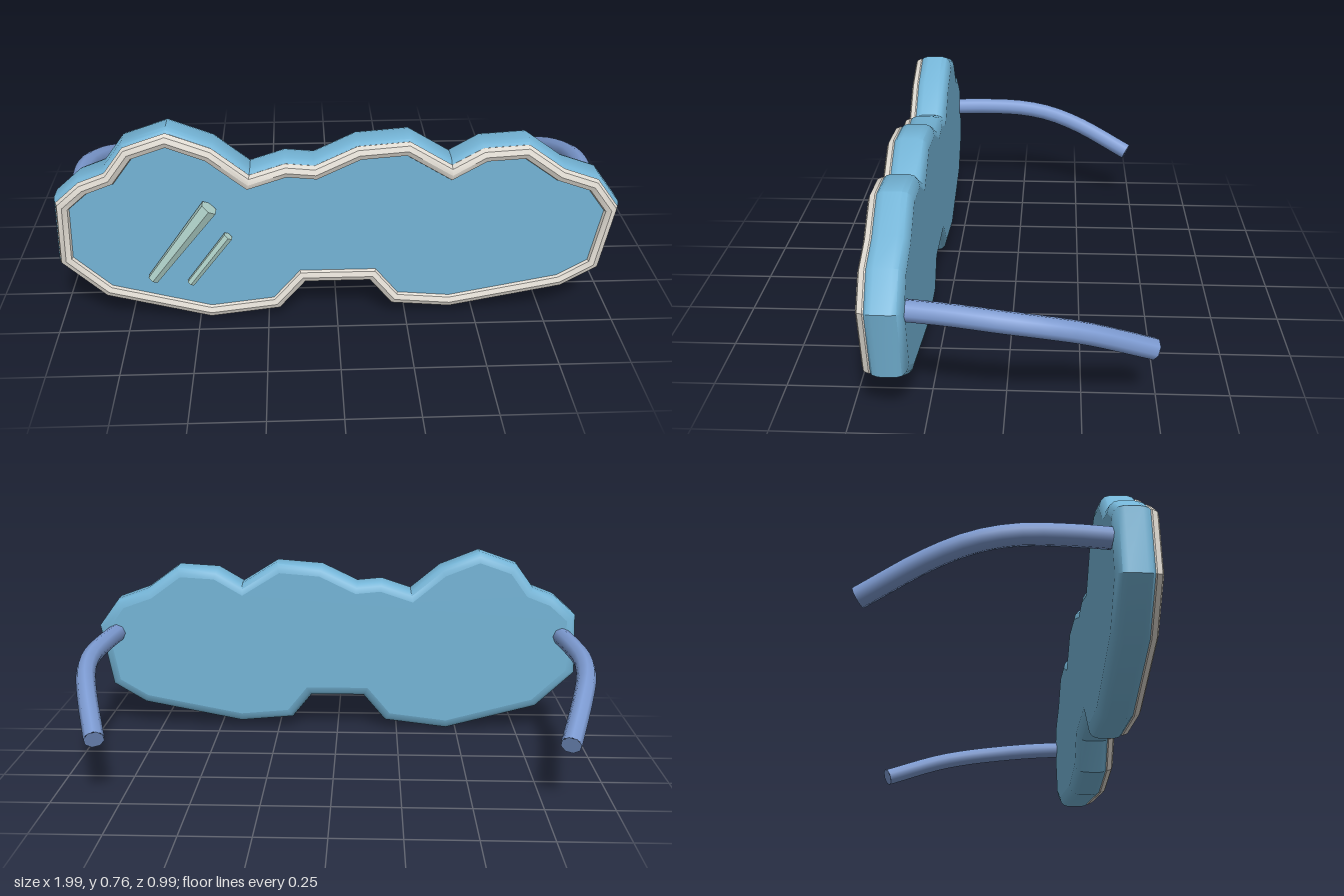
import * as THREE from 'three';
import { mergeGeometries, toCreasedNormals } from 'three/addons/utils/BufferGeometryUtils.js';

// Mask outline, clockwise from the upper left as seen from the front
const OUTLINE = [
  [-0.98, 0.5], [-0.89, 0.58], [-0.8, 0.615], [-0.73, 0.71], [-0.577, 0.763], [-0.42, 0.7],
  [-0.3, 0.6], [-0.18, 0.64], [-0.08, 0.63], [0.065, 0.7], [0.25, 0.715], [0.395, 0.625],
  [0.497, 0.685], [0.66, 0.695], [0.79, 0.6], [0.915, 0.555], [1, 0.44], [0.955, 0.187],
  [0.82, 0.105], [0.41, 0.025], [0.19, 0.045], [0.11, 0.145], [-0.107, 0.145], [-0.2, 0.035],
  [-0.46, 0.003], [-0.835, 0.105], [-0.99, 0.255],
].map(([x, y]) => new THREE.Vector2(x, y));

// Outline moved inwards by d, with mitred corners
function inset(d) {
  const n = OUTLINE.length;
  return OUTLINE.map((p, i) => {
    const a = p.clone().sub(OUTLINE[(i + n - 1) % n]).normalize();
    const b = OUTLINE[(i + 1) % n].clone().sub(p).normalize();
    const na = new THREE.Vector2(a.y, -a.x);
    const nb = new THREE.Vector2(b.y, -b.x);
    const m = na.clone().add(nb);
    return p.clone().addScaledVector(m, d / (1 + na.dot(nb)));
  });
}

// Sweeps a profile of [inset, z] pairs around the outline
function sweep(profile) {
  const rings = profile.map(([d, z]) => inset(d).map((p) => [p.x, p.y, z]));
  const pos = [];
  const n = OUTLINE.length;
  for (let j = 0; j < rings.length - 1; j++) {
    for (let i = 0; i < n; i++) {
      const k = (i + 1) % n;
      const a = rings[j][i], b = rings[j + 1][i], c = rings[j + 1][k], d = rings[j][k];
      pos.push(...a, ...b, ...c, ...a, ...c, ...d);
    }
  }
  const g = new THREE.BufferGeometry();
  g.setAttribute('position', new THREE.Float32BufferAttribute(pos, 3));
  g.computeVertexNormals();
  return toCreasedNormals(g, 0.7);
}

// Flat cap closing the sweep, facing front or back
function cap(d, z, back) {
  const pts = inset(d).map((p) => new THREE.Vector2(back ? -p.x : p.x, p.y));
  const g = new THREE.ShapeGeometry(new THREE.Shape(pts)).toNonIndexed();
  g.deleteAttribute('uv');
  if (back) g.rotateY(Math.PI);
  return g.translate(0, 0, z);
}

export function createModel() {
  const group = new THREE.Group();
  const mat = (name, color) => {
    const m = new THREE.MeshStandardMaterial({ color });
    m.name = name;
    return m;
  };
  const blue = mat('skyBlue', 0x74b4d6);
  const white = mat('warmWhite', 0xe0dbd2);
  const periwinkle = mat('periwinkle', 0x7d9bd2);
  const mint = mat('paleMint', 0xb0d2ca);
  const add = (name, geometry, material) => {
    const mesh = new THREE.Mesh(geometry, material);
    mesh.name = name;
    group.add(mesh);
    return mesh;
  };

  // Rounded lens body
  add('lensBody', mergeGeometries([
    sweep([[0.04, 0.3], [0.018, 0.306], [0.005, 0.319], [0, 0.337],
      [0, 0.395], [0.005, 0.413], [0.018, 0.427], [0.04, 0.432]]),
    cap(0.04, 0.432, false),
    cap(0.04, 0.3, true),
  ]), blue);

  // Round bead along the front edge
  const bead = [];
  for (let i = 0; i <= 8; i++) {
    const t = (i / 8) * Math.PI * 2;
    bead.push([0.035 - 0.025 * Math.cos(t), 0.425 + 0.025 * Math.sin(t)]);
  }
  add('frontRim', sweep(bead), white);

  // Curved temple arms with closed ends
  for (const s of [1, -1]) {
    const path = new THREE.CatmullRomCurve3([
      [0.922, 0.415, 0.32], [0.94, 0.412, 0.17], [0.955, 0.4, 0.01], [0.945, 0.378, -0.12],
      [0.908, 0.335, -0.26], [0.832, 0.236, -0.478],
    ].map(([x, y, z]) => new THREE.Vector3(s * x, y, z)));
    const name = s > 0 ? 'leftArm' : 'rightArm';
    add(name, new THREE.TubeGeometry(path, 14, 0.037, 8), periwinkle);
    const tip = add(name + 'Tip', new THREE.CircleGeometry(0.037, 8), periwinkle);
    tip.position.copy(path.getPoint(1));
    tip.quaternion.setFromUnitVectors(new THREE.Vector3(0, 0, 1), path.getTangent(1));
  }

  // Tapered glint bars on the lens
  const bar = (name, from, to, rBottom, rTop) => {
    const a = new THREE.Vector3(...from), b = new THREE.Vector3(...to);
    const dir = b.clone().sub(a);
    const g = toCreasedNormals(new THREE.CylinderGeometry(rTop, rBottom, dir.length(), 6), 0.5);
    const mesh = add(name, g, mint);
    mesh.position.copy(a).add(b).multiplyScalar(0.5);
    mesh.quaternion.setFromUnitVectors(new THREE.Vector3(0, 1, 0), dir.normalize());
  };
  bar('largeGlint', [-0.655, 0.195, 0.455], [-0.442, 0.483, 0.46], 0.021, 0.032);
  bar('smallGlint', [-0.523, 0.173, 0.452], [-0.382, 0.364, 0.453], 0.015, 0.018);

  return group;
}
